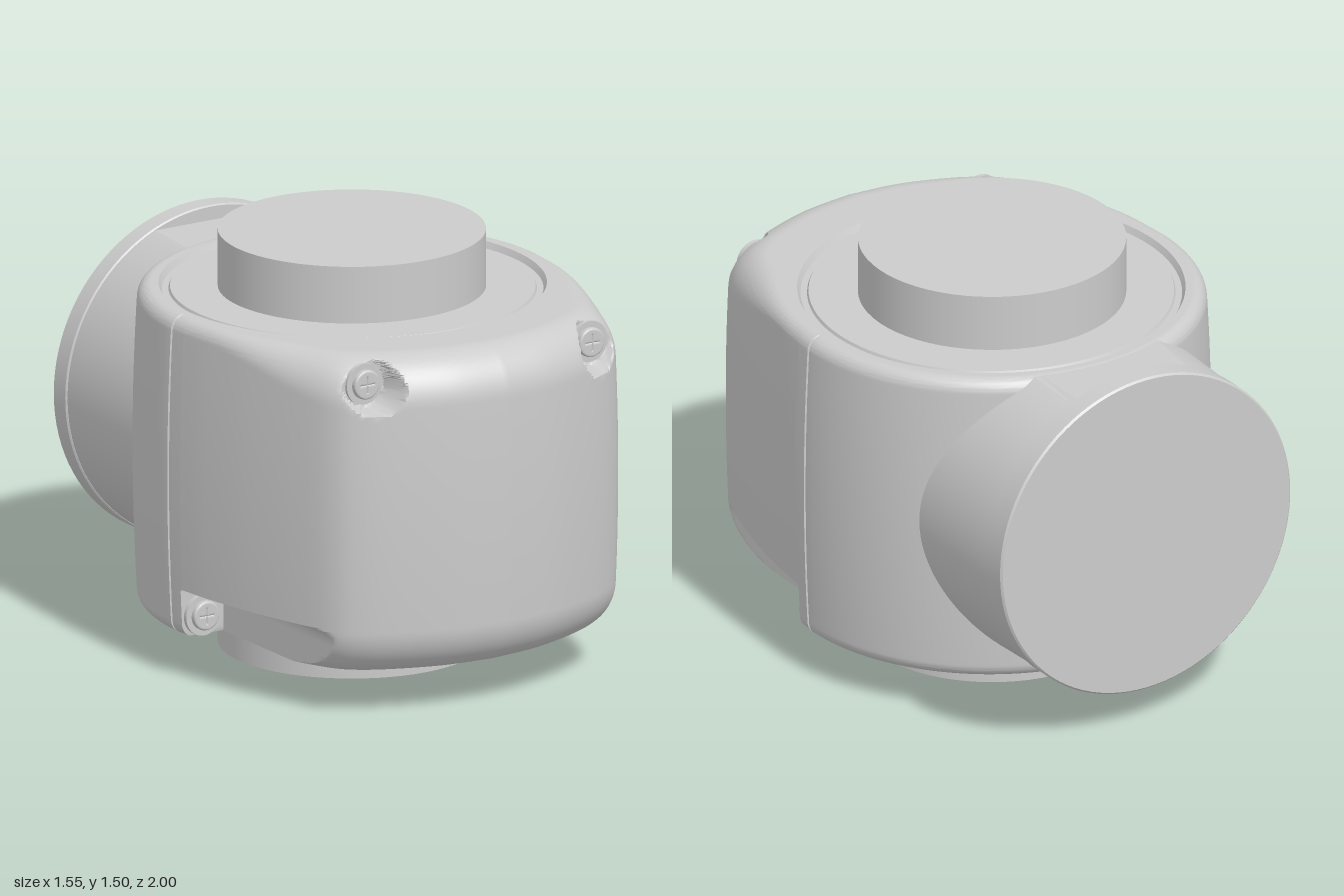
import * as THREE from 'three';
import { toCreasedNormals } from 'three/addons/utils/BufferGeometryUtils.js';

const mat = new THREE.MeshStandardMaterial({ color: 0xcccccc });
const matDouble = new THREE.MeshStandardMaterial({ color: 0xcccccc, side: THREE.DoubleSide });
const V2 = (x, y) => new THREE.Vector2(x, y);
const smooth = THREE.MathUtils.smoothstep;
const lerp = THREE.MathUtils.lerp;

const BOTTOM = 0.15, TOP = 1.31, MID = (BOTTOM + TOP) / 2, HALF = (TOP - BOTTOM) / 2;
const SEAT_Z = 0.06; // end wall of the lower screw channels

function addMesh(parent, name, geometry, material = mat) {
  const mesh = new THREE.Mesh(geometry, material);
  mesh.name = name;
  parent.add(mesh);
  return mesh;
}

// Plan outline of the housing: bowed front, straight-ish cheeks, round back
function planOutline() {
  const front = new THREE.SplineCurve([
    V2(0, 1), V2(0.2, 0.977), V2(0.38, 0.92), V2(0.52, 0.85), V2(0.6, 0.77),
    V2(0.66, 0.62), V2(0.72, 0.4), V2(0.757, 0.2), V2(0.772, SEAT_Z),
  ]).getSpacedPoints(110).map(p => ({ x: p.x, z: p.y, cut: true, groove: 0 }));
  const half = [...front, { x: 0.772, z: SEAT_Z - 0.003, cut: false, groove: 0 }];
  // Seam between the front cover and the back shell
  for (const [z, groove] of [[0.002, 0], [0, 0.009], [-0.007, 0.009], [-0.009, 0]])
    half.push({ x: 0.776, z, cut: false, groove });
  for (let i = 1; i <= 36; i++) {
    const a = 0.015 + (Math.PI / 2 - 0.015) * i / 36;
    half.push({ x: 0.776 * Math.cos(a), z: -0.776 * Math.sin(a), cut: false, groove: 0 });
  }
  half[half.length - 1].x = 0;
  const mirrored = half.slice(1, -1).reverse().map(p => ({ ...p, x: -p.x }));
  return [...half, ...mirrored];
}

// Inner limit of the lower corner channels at a given height
function channelLimit(y) {
  if (y > 0.325) return Infinity;
  const t = Math.max(0, (y - 0.275) / 0.05);
  return 0.585 + 0.05 * (1 - Math.sqrt(Math.max(0, 1 - t * t)));
}

// Housing surface point: rounded top and bottom edges, channels and screw pockets
function housingPoint(p, y) {
  const d = HALF - Math.abs(y - MID);
  const w = smooth(p.z, 0.2, 0.85);
  const rx = lerp(0.045, 0.15, w), ry = lerp(0.05, 0.17, w);
  const e = Math.max(0, (ry - d) / ry);
  const inset = rx * (1 - Math.sqrt(Math.max(0, 1 - e * e)))
    + 0.018 * ((y - MID) / HALF) ** 2 + p.groove;
  const s = 1 - inset / Math.hypot(p.x, p.z);
  let x = p.x * s, z = p.z * s;
  if (p.cut) {
    x = Math.sign(x) * Math.min(Math.abs(x), channelLimit(y));
    const dist = Math.hypot(Math.abs(x) - 0.47, y - 1.215);
    z = lerp(z, Math.min(z, 0.775), 1 - smooth(dist, 0.085, 0.102));
  }
  return [x, y, z];
}

function buildHousing(group) {
  const outline = planOutline(), n = outline.length;
  const levels = [0.322, 0.328];
  for (let k = 0; k <= 104; k++) levels.push(MID - HALF * Math.cos(Math.PI * k / 104));
  levels.sort((a, b) => a - b);
  const rows = levels.map(y => outline.map(p => housingPoint(p, y)));

  const index = [];
  for (let j = 0; j < rows.length - 1; j++)
    for (let i = 0; i < n; i++) {
      const a = j * n + i, b = j * n + (i + 1) % n;
      index.push(a, b, b + n, a, b + n, a + n);
    }
  const wall = new THREE.BufferGeometry();
  wall.setAttribute('position', new THREE.Float32BufferAttribute(rows.flat(2), 3));
  wall.setIndex(index);
  addMesh(group, 'housingWall', toCreasedNormals(wall, 0.6));

  // Flat underside
  const under = new THREE.ShapeGeometry(new THREE.Shape(rows[0].map(p => V2(p[0], p[2]))));
  addMesh(group, 'housingUnderside', under.rotateX(Math.PI / 2)).position.y = BOTTOM;

  // Top rim around the round recess
  const rim = new THREE.Shape(rows[rows.length - 1].map(p => V2(p[0], -p[2])));
  rim.holes.push(new THREE.Path().absarc(0, 0.01, 0.68, 0, Math.PI * 2, true));
  addMesh(group, 'topRim', new THREE.ShapeGeometry(rim, 48).rotateX(-Math.PI / 2)).position.y = TOP;

  // Recessed round plate
  const plate = new THREE.LatheGeometry(
    [V2(0, 1.298), V2(0.64, 1.298), V2(0.645, 1.288), V2(0.668, 1.288), V2(0.68, TOP)], 96);
  addMesh(group, 'topPlate', toCreasedNormals(plate, 0.4), matDouble).position.z = -0.01;
}

// Back outlet: round duct flattened above and below, fitted to the housing
function buildOutlet(group) {
  const duct = new THREE.CylinderGeometry(0.612, 0.6, 0.6, 128, 1, true)
    .rotateX(Math.PI / 2).translate(0, 0.755, -0.63);
  const pos = duct.attributes.position;
  for (let i = 0; i < pos.count; i++) {
    const x = pos.getX(i);
    pos.setY(i, THREE.MathUtils.clamp(pos.getY(i), 0.18, 1.308));
    pos.setZ(i, Math.min(pos.getZ(i), -Math.sqrt(0.7 * 0.7 - x * x)));
  }
  addMesh(group, 'backDuct', toCreasedNormals(duct, 0.3), matDouble);

  const flange = new THREE.LatheGeometry([
    V2(0, 0), V2(0.6, 0), V2(0.607, 0.007), V2(0.607, 0.08), V2(0.602, 0.085), V2(0, 0.085),
  ], 96).rotateX(Math.PI / 2);
  addMesh(group, 'backFlange', toCreasedNormals(flange, 0.5), matDouble).position.set(0, 0.755, -1);
}

// Cross-slotted screw facing +z
function makeScrew(name, x, y, z) {
  const screw = new THREE.Group();
  screw.name = name;
  const washer = new THREE.CylinderGeometry(0.075, 0.075, 0.016, 40).rotateX(Math.PI / 2);
  addMesh(screw, 'washer', washer);
  const head = new THREE.Shape().absarc(0, 0, 0.045, 0, Math.PI * 2);
  const a = 0.034, b = 0.007;
  head.holes.push(new THREE.Path([
    V2(a, -b), V2(a, b), V2(b, b), V2(b, a), V2(-b, a), V2(-b, b),
    V2(-a, b), V2(-a, -b), V2(-b, -b), V2(-b, -a), V2(b, -a), V2(b, -b),
  ]));
  addMesh(screw, 'head', new THREE.ExtrudeGeometry(head, {
    depth: 0.012, bevelThickness: 0.008, bevelSize: 0.008, bevelOffset: 0,
    bevelSegments: 3, curveSegments: 32,
  })).position.z = 0.008;
  screw.position.set(x, y, z);
  return screw;
}

export function createModel() {
  const model = new THREE.Group();
  model.name = 'pipeHousing';
  buildHousing(model);
  buildOutlet(model);

  // Vertical pipe through the housing
  addMesh(model, 'verticalPipe', new THREE.CylinderGeometry(0.47, 0.47, 1.505, 64))
    .position.set(0, 0.7525, -0.015);

  for (const [side, s] of [['left', 1], ['right', -1]]) {
    model.add(makeScrew(side + 'UpperScrew', s * 0.47, 1.215, 0.778));
    model.add(makeScrew(side + 'LowerScrew', s * 0.675, 0.225, SEAT_Z + 0.005));
  }
  return model;
}
